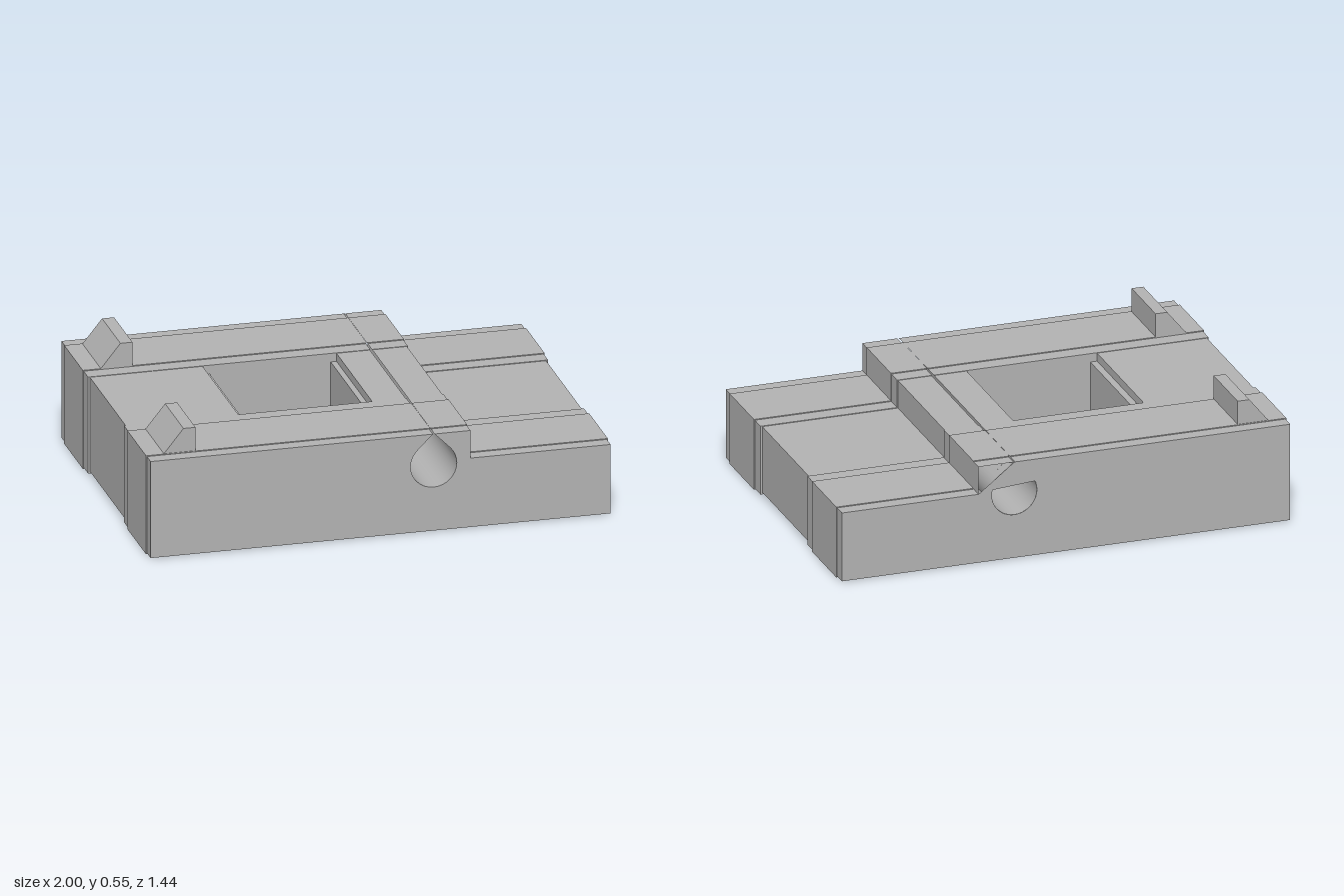
import * as THREE from 'three';
import { toCreasedNormals } from 'three/addons/utils/BufferGeometryUtils.js';

const BORE = { x: 0.23, y: 0.3, r: 0.1 };
const MAIN = { side: 0, bottom: 0, top: 0.442, low: 0.318 };
const RIM = { side: 0.004, bottom: 0.005, top: 0.438, low: 0.314 };
const CORE = { side: 0.012, bottom: 0.014, top: 0.436, low: 0.311 };
const POCKET = [[0.08, 0], [0.08, 0.4], [0.055, 0.4], [0.055, 0.18],
  [-0.47, 0.18], [-0.47, 0.4], [-0.5, 0.4], [-0.5, 0]];

// Stepped outline running around the teardrop bore, which may slit the top
function outline(s, pocket = []) {
  const gap = Math.max(0.0004, BORE.y + BORE.r * Math.SQRT2 - s.top);
  const step = 0.391 - s.side / 2;
  const pts = [[-1 + s.side, s.bottom], [1 - s.side, s.bottom], [1 - s.side, s.low],
    [step, s.low], [step, s.top], [BORE.x + gap, s.top]];
  for (let i = 0; i <= 24; i++) {
    const a = Math.PI * (0.25 - 1.5 * i / 24);
    pts.push([BORE.x + BORE.r * Math.cos(a), BORE.y + BORE.r * Math.sin(a)]);
  }
  pts.push([BORE.x - gap, s.top]);
  for (const [x, y] of pocket) pts.push([x, y || s.top]);
  pts.push([-1 + s.side, s.top]);
  return pts;
}

// Walls between matching outlines, listed from front to back
function loft(stations) {
  const pos = [];
  for (let k = 0; k < stations.length - 1; k++) {
    const [za, A] = stations[k], [zb, B] = stations[k + 1];
    for (let i = 0; i < A.length; i++) {
      const j = (i + 1) % A.length;
      pos.push(...A[i], za, ...B[i], zb, ...A[j], za);
      pos.push(...A[j], za, ...B[i], zb, ...B[j], zb);
    }
  }
  const g = new THREE.BufferGeometry();
  g.setAttribute('position', new THREE.Float32BufferAttribute(pos, 3));
  return toCreasedNormals(g, 0.5);
}

const toShape = pts => new THREE.Shape(pts.map(p => new THREE.Vector2(...p)));

export function createModel() {
  const group = new THREE.Group();
  const grey = new THREE.MeshStandardMaterial({ color: 0xb2b2b2, side: THREE.DoubleSide });
  grey.name = 'light grey';
  const add = (name, geometry, z = 0) => {
    const mesh = new THREE.Mesh(geometry, grey);
    mesh.name = name;
    mesh.position.z = z;
    group.add(mesh);
  };

  // Side blocks: a full-size band between two slightly smaller rims
  const rim = outline(RIM), main = outline(MAIN);
  const side = [[0.72, rim], [0.66, rim], [0.66, main], [0.36, main], [0.36, rim], [0.29, rim]];
  add('frontBlock', loft(side));
  add('backBlock', loft(side.map(([z, p]) => [-z, p]).reverse()));

  // Recessed centre with the stepped pocket
  const core = outline(CORE, POCKET);
  add('centreBlock', loft([[0.29, core], [-0.29, core]]));
  const innerCap = new THREE.ShapeGeometry(toShape(rim));
  add('frontPocketWall', innerCap, 0.29);
  add('backPocketWall', innerCap, -0.29);

  // Front face with the whole teardrop opening
  add('frontFace', new THREE.ShapeGeometry(toShape(rim)), 0.72);

  // Back face with a part-covered bore and an open corner by the step
  const backShape = toShape([[-1 + RIM.side, RIM.bottom], [1 - RIM.side, RIM.bottom],
    [1 - RIM.side, RIM.low], [0.389, RIM.low], [BORE.x, RIM.top], [-1 + RIM.side, RIM.top]]);
  const hole = new THREE.Path();
  hole.absarc(BORE.x, BORE.y, BORE.r, Math.PI * 0.87, Math.PI * 2.08, false);
  hole.closePath();
  backShape.holes.push(hole);
  add('backFace', new THREE.ShapeGeometry(backShape, 24), -0.72);

  // Pair of wedge-shaped catches
  const catchShape = toShape([[-0.925, 0.438], [-0.785, 0.438], [-0.785, 0.547], [-0.837, 0.547]]);
  const catchGeo = new THREE.ExtrudeGeometry(catchShape, { depth: 0.297, bevelEnabled: false });
  add('frontCatch', catchGeo, 0.36);
  add('backCatch', catchGeo, -0.657);

  return group;
}
